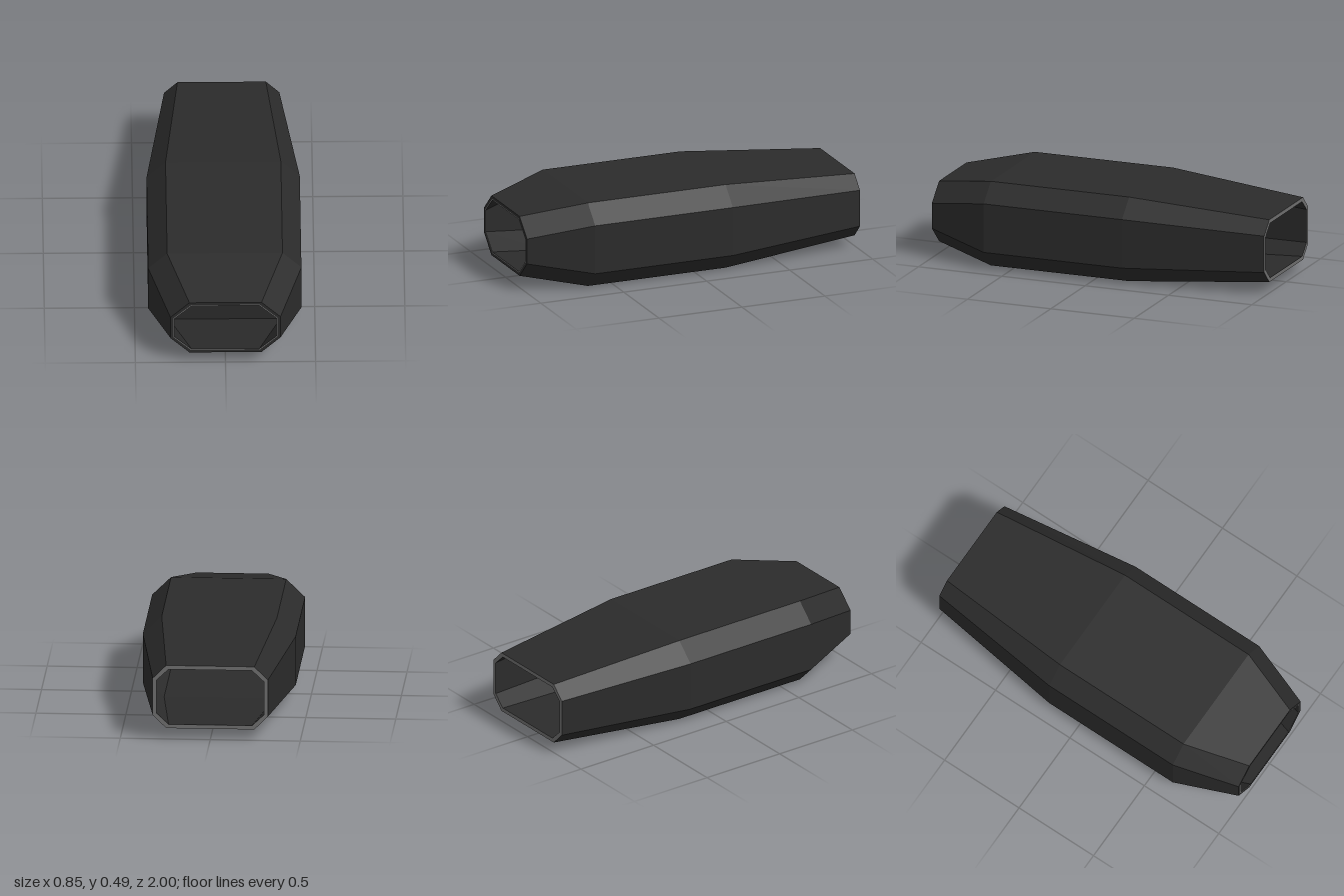
import * as THREE from 'three';

const CY = 0.2425; // height of the pod's centre line

// Bevelled-octagon section, counter-clockwise from +z; t shrinks it inward
function section(z, halfW, flatW, halfH, sideH, t = 0) {
  const w = halfW - t, f = flatW - t * 0.6, h = halfH - t, s = sideH - t * 0.45;
  return [[w, -s], [w, s], [f, h], [-f, h], [-w, s], [-w, -s], [-f, -h], [f, -h]]
    .map(([x, y]) => new THREE.Vector3(x, CY + y, z));
}

// Flat-faced skin through a list of sections; faces outward when z decreases
function loft(rings) {
  const pts = [];
  for (let r = 0; r < rings.length - 1; r++) {
    const a = rings[r], b = rings[r + 1];
    for (let i = 0; i < 8; i++) {
      const j = (i + 1) % 8;
      pts.push(a[i], b[i], a[j], a[j], b[i], b[j]);
    }
  }
  const g = new THREE.BufferGeometry().setFromPoints(pts);
  g.computeVertexNormals();
  return g;
}

export function createModel() {
  const dark = new THREE.MeshStandardMaterial({ name: 'charcoal', color: 0x2b2b2b });
  const grey = new THREE.MeshStandardMaterial({ name: 'rimGrey', color: 0x6e6e6e });
  const light = new THREE.MeshStandardMaterial({ name: 'lightGrey', color: 0xc6c6c6 });
  const darkPlate = dark.clone();
  darkPlate.name = 'charcoalPlate';
  darkPlate.side = THREE.DoubleSide;

  const group = new THREE.Group();
  const add = (name, geo, mat, parent = group) => {
    const m = new THREE.Mesh(geo, mat);
    m.name = name;
    parent.add(m);
    return m;
  };

  const profile = [
    [1, 0.305, 0.2, 0.1735, 0.0725],
    [0.64, 0.425, 0.32, 0.2425, 0.14],
    [-0.19, 0.425, 0.32, 0.2425, 0.14],
    [-1, 0.32, 0.245, 0.18, 0.105],
  ];
  const T = 0.022;
  const rings = (t) => profile.map((p) => section(...p, t));
  const outer = rings(0), inner = rings(T);

  // Hollow casing
  add('outerShell', loft(outer), dark);
  add('innerShell', loft([...inner].reverse()), dark);

  // Rims around both openings
  const frontMid = section(...profile[0], 0.016);
  add('frontRim', loft([frontMid, outer[0]]), dark);
  add('frontRimTrim', loft([inner[0], frontMid]), grey);
  add('backRim', loft([outer[3], inner[3]]), grey);

  // Bulkhead set behind the front opening
  const wall = new THREE.Shape(inner[1].map((p) => new THREE.Vector2(p.x, p.y)));
  add('bulkhead', new THREE.ShapeGeometry(wall), darkPlate).position.z = 0.635;

  // Twin round intakes on the bulkhead
  for (const side of [-1, 1]) {
    const intake = new THREE.Group();
    intake.name = side > 0 ? 'leftIntake' : 'rightIntake';
    intake.position.set(side * 0.139, CY, 0.64);
    group.add(intake);
    add('intakeRing', new THREE.RingGeometry(0.056, 0.11, 32), light, intake);
    add('intakeHub', new THREE.CircleGeometry(0.033, 24), light, intake);
    // Narrow slots either side of the hub
    for (const s of [-1, 1]) {
      for (const y of [-0.006, 0.006]) {
        add('intakeSlot', new THREE.BoxGeometry(0.05, 0.005, 0.004), dark, intake)
          .position.set(s * 0.083, y, 0.002);
      }
    }
  }
  return group;
}
